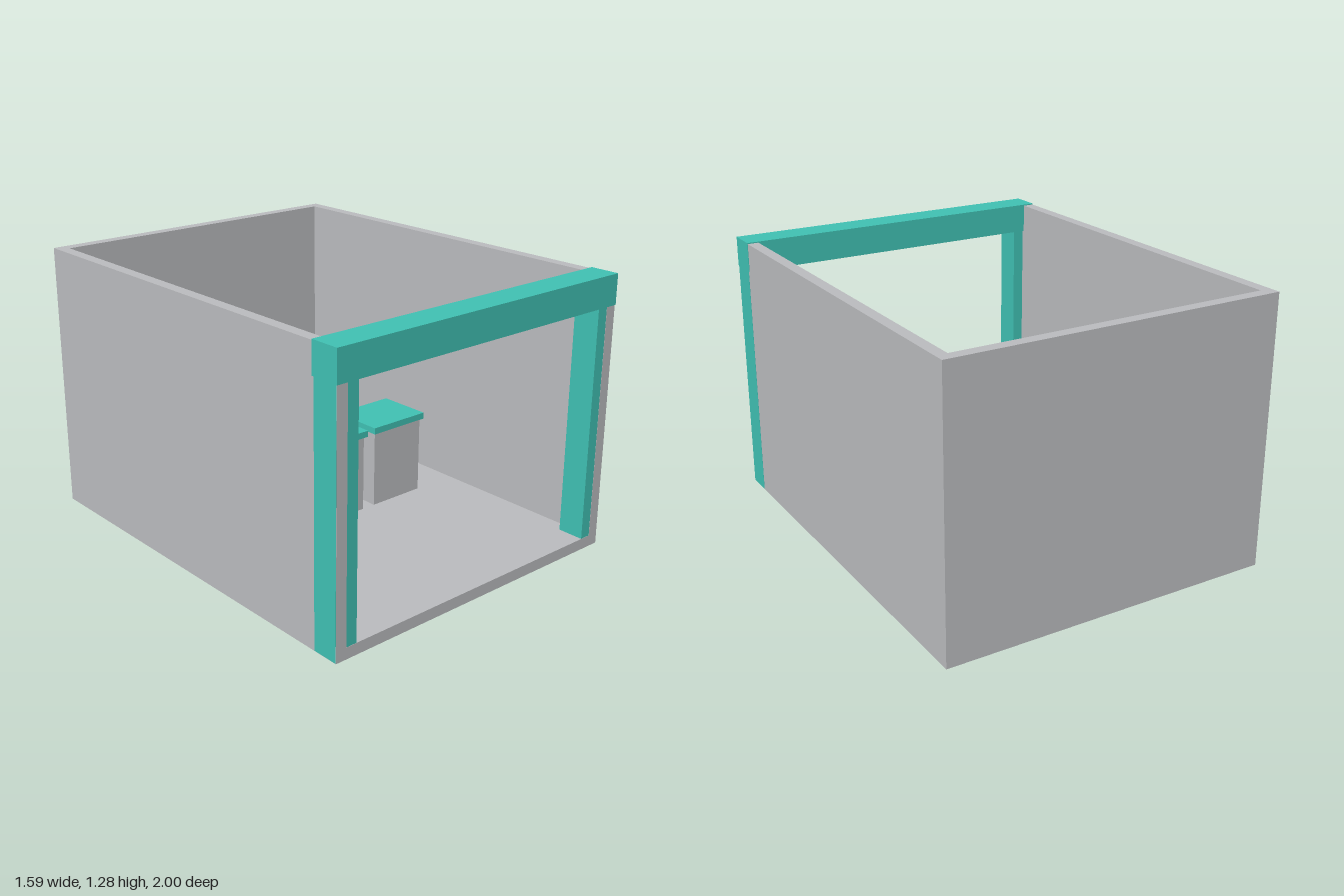
import * as THREE from 'three';

export function createModel() {
  const model = new THREE.Group();
  model.name = 'marketStall';
  const grey = new THREE.MeshStandardMaterial({ color: 0xbbbcbf });
  grey.name = 'wall grey';
  const teal = new THREE.MeshStandardMaterial({ color: 0x40c1b3 });
  teal.name = 'trim teal';

  // Box given by its minimum and maximum corners
  function box(name, material, [x0, y0, z0], [x1, y1, z1], parent = model) {
    const mesh = new THREE.Mesh(new THREE.BoxGeometry(x1 - x0, y1 - y0, z1 - z0), material);
    mesh.position.set((x0 + x1) / 2, (y0 + y1) / 2, (z0 + z1) / 2);
    mesh.name = name;
    parent.add(mesh);
  }

  const W = 0.795, T = 0.053, FLOOR = 0.053, TOP = 1.275, FRONT = 0.997;

  // Floor slab and back wall
  box('floor', grey, [-W, 0, -1], [W, FLOOR, FRONT]);
  box('backWall', grey, [-W + T, FLOOR, -1], [W - T, TOP, -1 + T]);

  // Side walls and the door posts clasping their front ends
  for (const [side, s] of [['left', 1], ['right', -1]]) {
    const span = (a, b) => (s > 0 ? [a, b] : [-b, -a]);
    const [w0, w1] = span(W - T, W);
    box(side + 'Wall', grey, [w0, FLOOR, -1], [w1, TOP, FRONT]);
    const [p0, p1] = span(0.688, W + 0.001);
    box(side + 'Post', teal, [p0, 0.002, 0.87], [p1, 1.16, FRONT - 0.001]);
  }

  // Lintel across the opening
  box('lintel', teal, [-W - 0.002, 1.14, 0.86], [W + 0.002, 1.28, 1]);

  // Row of three pedestals with overhanging tops
  for (let i = -1; i <= 1; i++) {
    const pedestal = new THREE.Group();
    pedestal.name = 'pedestal' + (i + 2);
    pedestal.position.set(i * 0.366, 0, -0.006);
    box('pedestalBody', grey, [-0.148, FLOOR, -0.119], [0.148, 0.426, 0.119], pedestal);
    box('pedestalTop', teal, [-0.161, 0.426, -0.133], [0.161, 0.457, 0.133], pedestal);
    model.add(pedestal);
  }
  return model;
}
